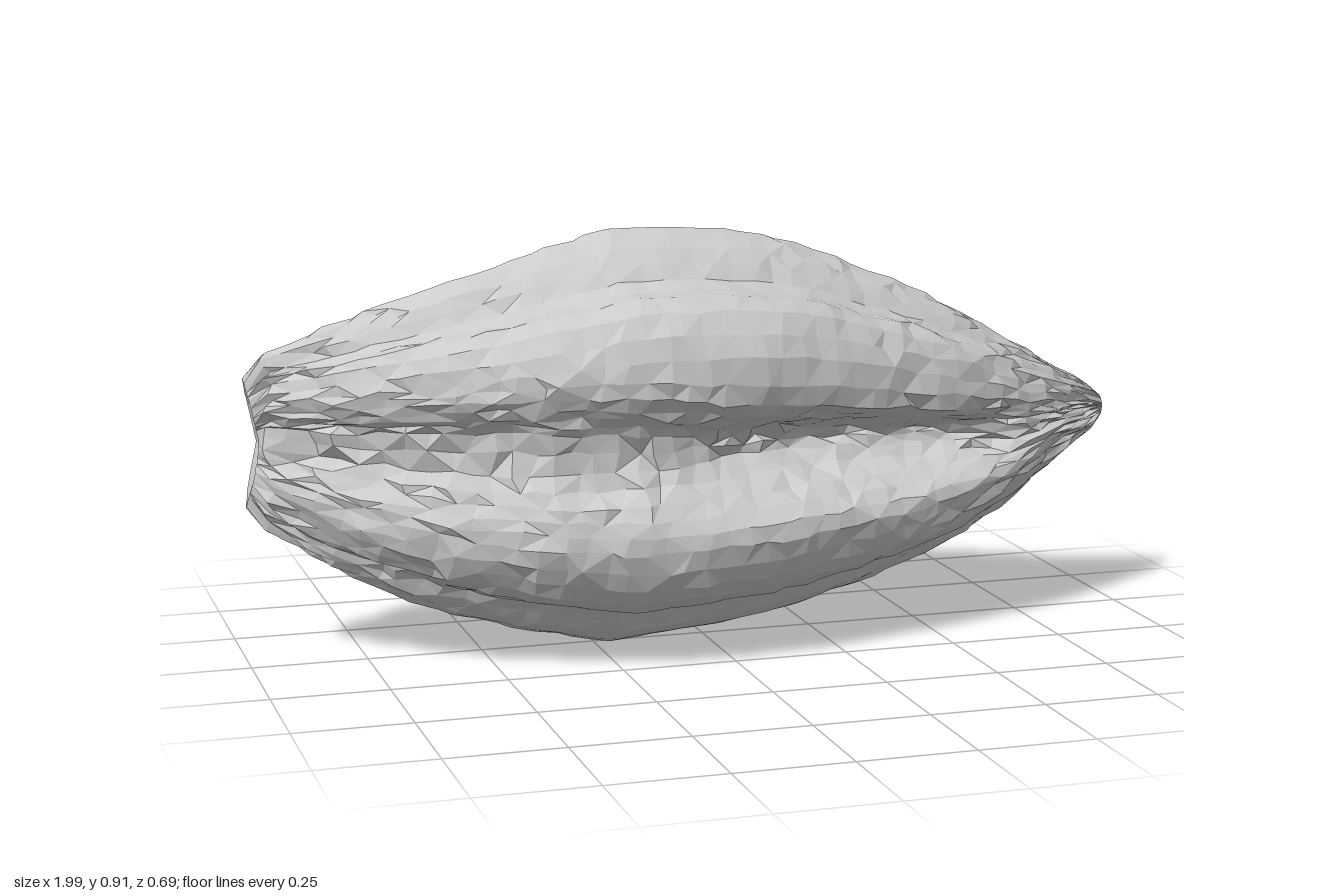
import * as THREE from 'three';

const { lerp, smoothstep } = THREE.MathUtils;
const RINGS = 46, SIDES = 60;

// Outline stations along the length: [x, bottom y, top y, back z, front z]
const STATIONS = [
  [-0.99, 0.33, 0.61, -0.115, -0.055], [-0.95, 0.28, 0.665, -0.125, -0.015],
  [-0.8, 0.19, 0.73, -0.15, 0.115], [-0.6, 0.10, 0.80, -0.20, 0.23],
  [-0.4, 0.04, 0.86, -0.28, 0.30], [-0.22, 0.0, 0.91, -0.325, 0.335],
  [-0.1, 0.01, 0.91, -0.345, 0.345], [0.05, 0.02, 0.90, -0.348, 0.335],
  [0.2, 0.045, 0.87, -0.32, 0.30], [0.4, 0.10, 0.79, -0.25, 0.24],
  [0.53, 0.15, 0.735, -0.20, 0.20], [0.6, 0.18, 0.70, -0.165, 0.17],
  [0.72, 0.25, 0.63, -0.145, 0.12], [0.8, 0.31, 0.585, -0.14, 0.07],
  [0.92, 0.375, 0.52, -0.125, -0.01], [0.99, 0.42, 0.47, -0.105, -0.07],
];

// Interpolate a station column at x
function outline(x, column) {
  let k = 0;
  while (k < STATIONS.length - 2 && x > STATIONS[k + 1][0]) k++;
  const a = STATIONS[k], b = STATIONS[k + 1];
  return lerp(a[column], b[column], (x - a[0]) / (b[0] - a[0]));
}

// Lobed cross-section (z, y) in -1..1: side ridges, flat back, cleft front
function section(x) {
  // The cleft is shallow mid-left, deep towards the tip, and slants downwards
  const depth = smoothstep(x, -0.3, 0.25) * (1 - smoothstep(x, 0.65, 0.85));
  const floor = 0.76 - 0.34 * depth - 0.2 * (1 - smoothstep(x, -0.95, -0.5));
  const lip = (floor + 1) / 2;
  const slant = lerp(0.08, -0.06, smoothstep(x, -0.6, 0.1));
  // The tip closes into a plain rounded cone
  const cone = 0.85 * smoothstep(x, 0.55, 0.8);
  const points = [
    [0, 1], [-0.29, 0.89], [-0.55, 0.80], [-0.77, 0.75], [-0.84, 0.65],
    [-0.85, 0.42], [-0.92, 0.22], [-1, 0], [-0.95, -0.22], [-0.87, -0.45],
    [-0.82, -0.70], [-0.72, -0.79], [-0.43, -0.83], [0, -1], [0.23, -0.92],
    [0.38, -0.79], [0.72, -0.73], [0.93, -0.57], [1, -0.37],
    [lip + 0.06, -0.23], [floor, -0.07], [floor, 0.1 + slant], [lip, 0.2 + slant],
    [0.97, 0.32 + slant], [0.95, 0.52], [0.76, 0.72], [0.43, 0.77], [0.25, 0.915],
  ].map(([z, y]) => {
    const scale = lerp(1, 1 / Math.hypot(z, y), cone);
    return new THREE.Vector3(0, y * scale, z * scale);
  });
  return new THREE.CatmullRomCurve3(points, true);
}

// Repeatable value in -1..1 for the rough skin
function rough(i, j, salt) {
  const s = Math.sin(i * 12.9898 + j * 78.233 + salt * 37.719) * 43758.5453;
  return (s - Math.floor(s)) * 2 - 1;
}

function shellGeometry() {
  const positions = [], indices = [];
  for (let i = 0; i <= RINGS; i++) {
    const x = lerp(-0.99, 0.99, i / RINGS);
    const [bottom, top, back, front] = [1, 2, 3, 4].map((c) => outline(x, c));
    const curve = section(x);
    const skin = 0.006 * Math.min(1, (top - bottom) / 0.5);
    const slide = i > 0 && i < RINGS ? 0.013 : 0;
    for (let j = 0; j < SIDES; j++) {
      const p = curve.getPoint(j / SIDES);
      const inCleft = p.z > 0 && Math.abs(p.y) < 0.25 ? 2 : 1;
      const dent = i === 0 ? 0.03 * (1 - Math.abs(p.y)) : 0;
      positions.push(
        x + dent + slide * rough(i, j, 1),
        lerp(bottom, top, (p.y + 1) / 2) + skin * rough(i, j, 2) * (1 - p.y * p.y),
        lerp(back, front, (p.z + 1) / 2) + skin * inCleft * rough(i, j, 3) * (1 - 0.5 * Math.abs(p.y)),
      );
      const n = (j + 1) % SIDES;
      if (i < RINGS) {
        const a = i * SIDES + j, b = i * SIDES + n, c = a + SIDES, d = b + SIDES;
        // Alternate the diagonals so the facets do not line up
        if ((i + j) % 2) indices.push(a, c, b, b, c, d);
        else indices.push(a, c, d, a, d, b);
      }
    }
  }
  // Blunt dented end and pointed tip
  const end = positions.length / 3, last = RINGS * SIDES;
  positions.push(-0.95, 0.455, -0.08, 1, 0.445, -0.09);
  for (let j = 0; j < SIDES; j++) {
    const n = (j + 1) % SIDES;
    indices.push(end, j, n, end + 1, last + n, last + j);
  }
  const geometry = new THREE.BufferGeometry();
  geometry.setAttribute('position', new THREE.Float32BufferAttribute(positions, 3));
  geometry.setIndex(indices);
  geometry.computeVertexNormals();
  return geometry;
}

export function createModel() {
  const group = new THREE.Group();
  group.name = 'seedPod';
  const material = new THREE.MeshStandardMaterial({ color: 0xcccccc, flatShading: true });
  const shell = new THREE.Mesh(shellGeometry(), material);
  shell.name = 'lobedShell';
  group.add(shell);
  return group;
}
